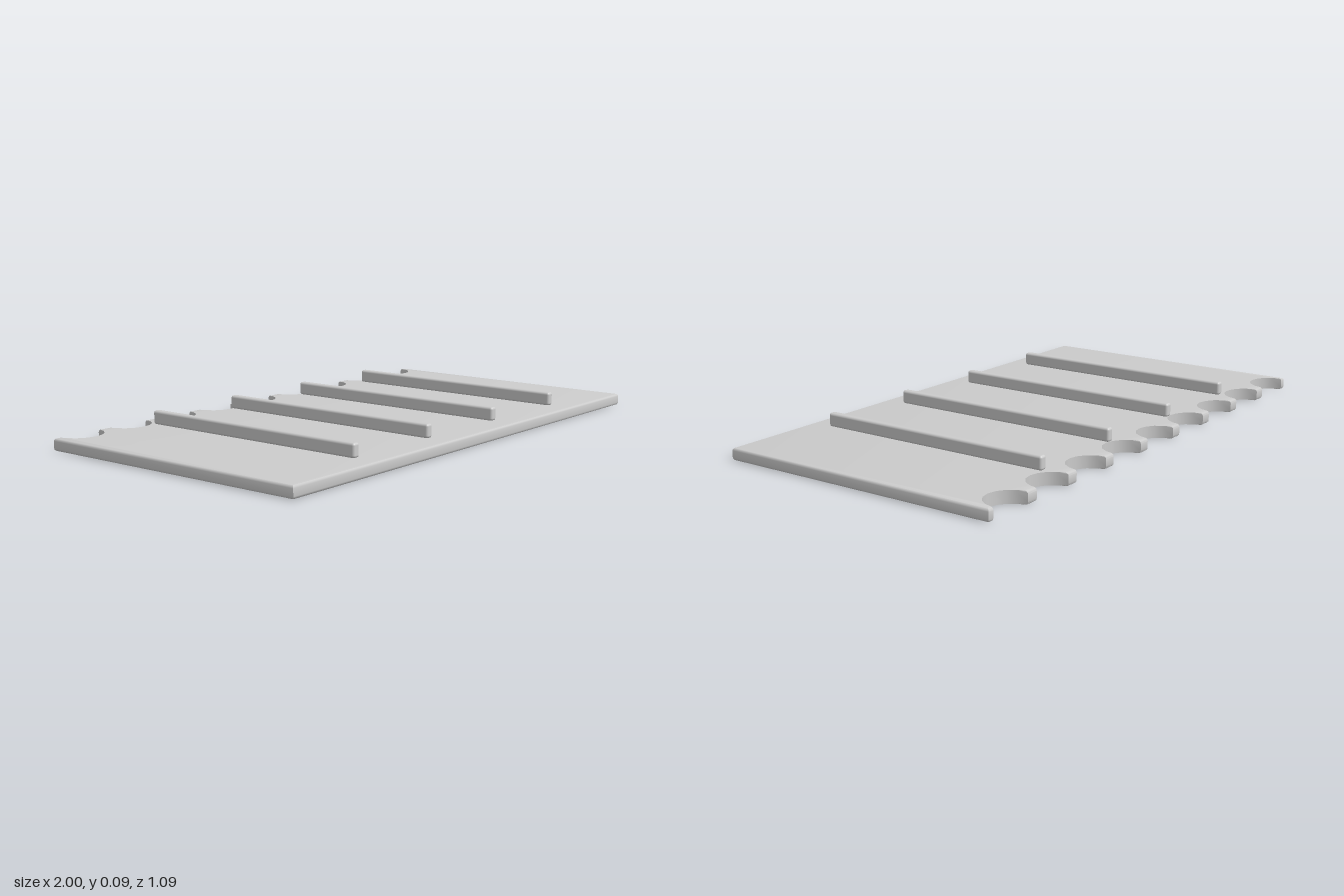
import * as THREE from 'three';
import { toCreasedNormals } from 'three/addons/utils/BufferGeometryUtils.js';
import { RoundedBoxGeometry } from 'three/addons/geometries/RoundedBoxGeometry.js';

const HALF_W = 1, HALF_D = 0.543, THICK = 0.045, ROUND = 0.01;
const NOTCHES = 9, NOTCH_R = 0.088, NOTCH_SEGMENTS = 8;

// Slab with a row of half-round notches along the back; only the outer edges are rounded.
function slabGeometry() {
  const shape = new THREE.Shape();
  shape.moveTo(-HALF_W, -HALF_D);
  shape.lineTo(HALF_W, -HALF_D);
  shape.lineTo(HALF_W, HALF_D);
  const pitch = 2 * HALF_W / NOTCHES;
  for (let n = NOTCHES - 1; n >= 0; n--) {
    const cx = -HALF_W + (n + 0.5) * pitch;
    for (let k = 0; k <= NOTCH_SEGMENTS; k++) {
      const a = Math.PI * k / NOTCH_SEGMENTS;
      shape.lineTo(cx + NOTCH_R * Math.cos(a), HALF_D - NOTCH_R * Math.sin(a));
    }
  }
  shape.lineTo(-HALF_W, HALF_D);
  shape.closePath();

  // Layers of height and inset that follow a quarter round at bottom and top
  const layers = [];
  for (let k = 0; k <= 3; k++) {
    const a = Math.PI / 2 * k / 3;
    layers.push([ROUND * (1 - Math.cos(a)), ROUND * (1 - Math.sin(a))]);
  }
  for (let k = 3; k >= 0; k--) layers.push([THICK - layers[k][0], layers[k][1]]);

  const steps = layers.length - 1;
  const geo = new THREE.ExtrudeGeometry(shape, { depth: steps, steps, bevelEnabled: false });
  geo.rotateX(-Math.PI / 2);
  const p = geo.attributes.position;
  for (let i = 0; i < p.count; i++) {
    const [y, inset] = layers[Math.round(p.getY(i))];
    const w = HALF_W - inset, d = HALF_D - inset;
    p.setXYZ(i, THREE.MathUtils.clamp(p.getX(i), -w, w), y, THREE.MathUtils.clamp(p.getZ(i), -d, d));
  }
  geo.computeVertexNormals();
  return toCreasedNormals(geo, 0.6);
}

export function createModel() {
  const group = new THREE.Group();
  group.name = 'ribbedPanel';
  const material = new THREE.MeshStandardMaterial({ color: 0xcccccc });

  const slab = new THREE.Mesh(slabGeometry(), material);
  slab.name = 'notchedSlab';
  group.add(slab);

  // Four raised ribs running front to back
  const ribGeo = new RoundedBoxGeometry(0.03, 0.05, 0.924, 3, 0.009);
  [-0.6, -0.2, 0.2, 0.6].forEach((x, i) => {
    const rib = new THREE.Mesh(ribGeo, material);
    rib.name = `rib${i + 1}`;
    rib.position.set(x, THICK + 0.025, 0);
    group.add(rib);
  });
  return group;
}
